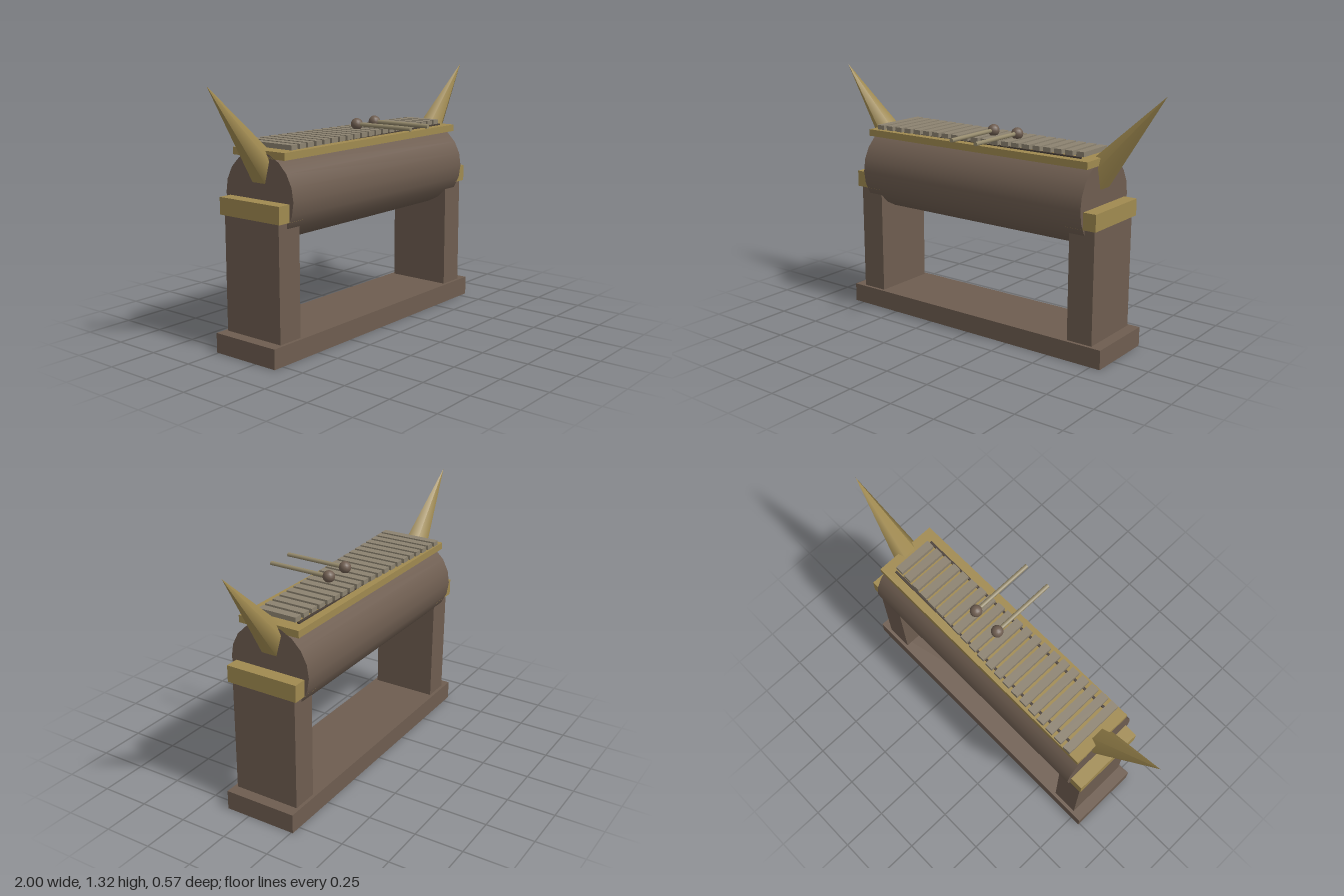
import * as THREE from 'three';

const material = (color) => new THREE.MeshStandardMaterial({ color });

export function createModel() {
  const model = new THREE.Group();
  model.name = 'xylophone';
  const wood = material(0x6e5d50);
  const gold = material(0xa08a50);
  const barGrey = material(0x8c8270);
  const stickTan = material(0x958a6c);
  const dark = material(0x4a4038);
  const zc = -0.067; // centre line of the body

  const add = (name, geometry, mat, x, y, z) => {
    const mesh = new THREE.Mesh(geometry, mat);
    mesh.name = name;
    mesh.position.set(x, y, z);
    model.add(mesh);
    return mesh;
  };
  const box = (name, mat, w, h, d, x, y, z) =>
    add(name, new THREE.BoxGeometry(w, h, d), mat, x, y, z);

  // Stand and resonator drum
  box('base', wood, 1.61, 0.1, 0.385, 0, 0.05, zc);
  const drum = add('drum', new THREE.CylinderGeometry(0.218, 0.218, 1.38, 20), wood, 0, 0.776, zc);
  drum.rotation.z = Math.PI / 2;
  box('topBoard', gold, 1.38, 0.036, 0.333, 0, 0.982, zc);

  for (const side of [-1, 1]) {
    box('leg', wood, 0.14, 0.58, 0.35, side * 0.675, 0.39, zc);
    box('legCap', gold, 0.17, 0.086, 0.385, side * 0.675, 0.722, zc);

    // Six-sided horn, its base buried in the end of the drum
    const tip = new THREE.Vector3(side, 1.315, zc);
    const root = new THREE.Vector3(side * 0.623, 0.874, zc);
    const axis = tip.clone().sub(root);
    const length = axis.length();
    const horn = add('horn', new THREE.ConeGeometry(0.146 * length, length, 6), gold, 0, 0, 0);
    horn.position.copy(root).add(tip).multiplyScalar(0.5);
    horn.quaternion.setFromUnitVectors(new THREE.Vector3(0, 1, 0), axis.normalize());
  }

  // Rails under the bars
  for (const z of [-0.187, 0.047]) box('rail', dark, 1.23, 0.008, 0.012, 0.01, 1.003, z);

  // Tone bars, shorter towards the right end of the row
  const count = 21;
  for (let i = 0; i < count; i++) {
    const t = i / (count - 1);
    const length = THREE.MathUtils.lerp(0.325, 0.21, t);
    box('toneBar', barGrey, 0.043, 0.024, length, -0.613 + 1.222 * t, 1.017, -0.071);
  }

  // Mallets
  for (const x of [0.03, 0.178]) {
    const stick = add('malletStick', new THREE.CylinderGeometry(0.011, 0.011, 0.345, 10), stickTan, x, 1.053, 0.112);
    stick.rotation.x = Math.PI / 2;
    add('malletHead', new THREE.SphereGeometry(0.031, 14, 10), wood, x, 1.053, -0.06);
  }
  return model;
}
